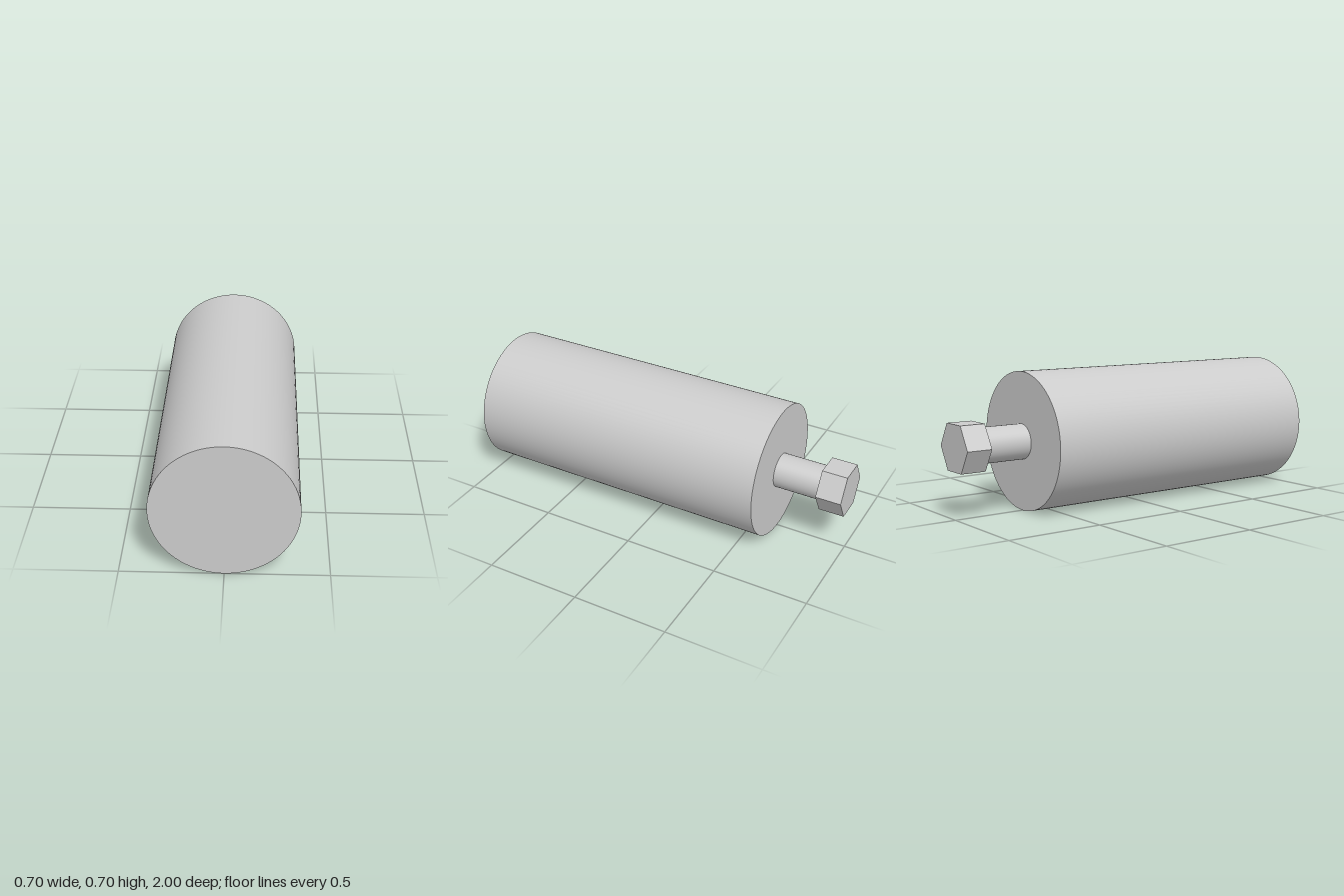
import * as THREE from 'three';

const AXIS_Y = 0.352;

export function createModel() {
  const group = new THREE.Group();
  const smooth = new THREE.MeshStandardMaterial({ color: 0xcccccc });
  const faceted = new THREE.MeshStandardMaterial({ color: 0xcccccc, flatShading: true });

  // Solid cylinder along z between two depths, with a corner on the +x side
  function addRod(name, radius, zBack, zFront, sides, material) {
    const geometry = new THREE.CylinderGeometry(
      radius, radius, zFront - zBack, sides, 1, false, Math.PI / 2);
    geometry.rotateX(Math.PI / 2);
    const mesh = new THREE.Mesh(geometry, material);
    mesh.name = name;
    mesh.position.set(0, AXIS_Y, (zBack + zFront) / 2);
    group.add(mesh);
  }

  // Large drum, thin shank behind it, hexagonal head at the back end
  addRod('body', 0.352, -0.62, 1, 96, smooth);
  addRod('shank', 0.09, -0.867, -0.62, 40, smooth);
  addRod('hexHead', 0.135, -1, -0.867, 6, faceted);

  return group;
}
